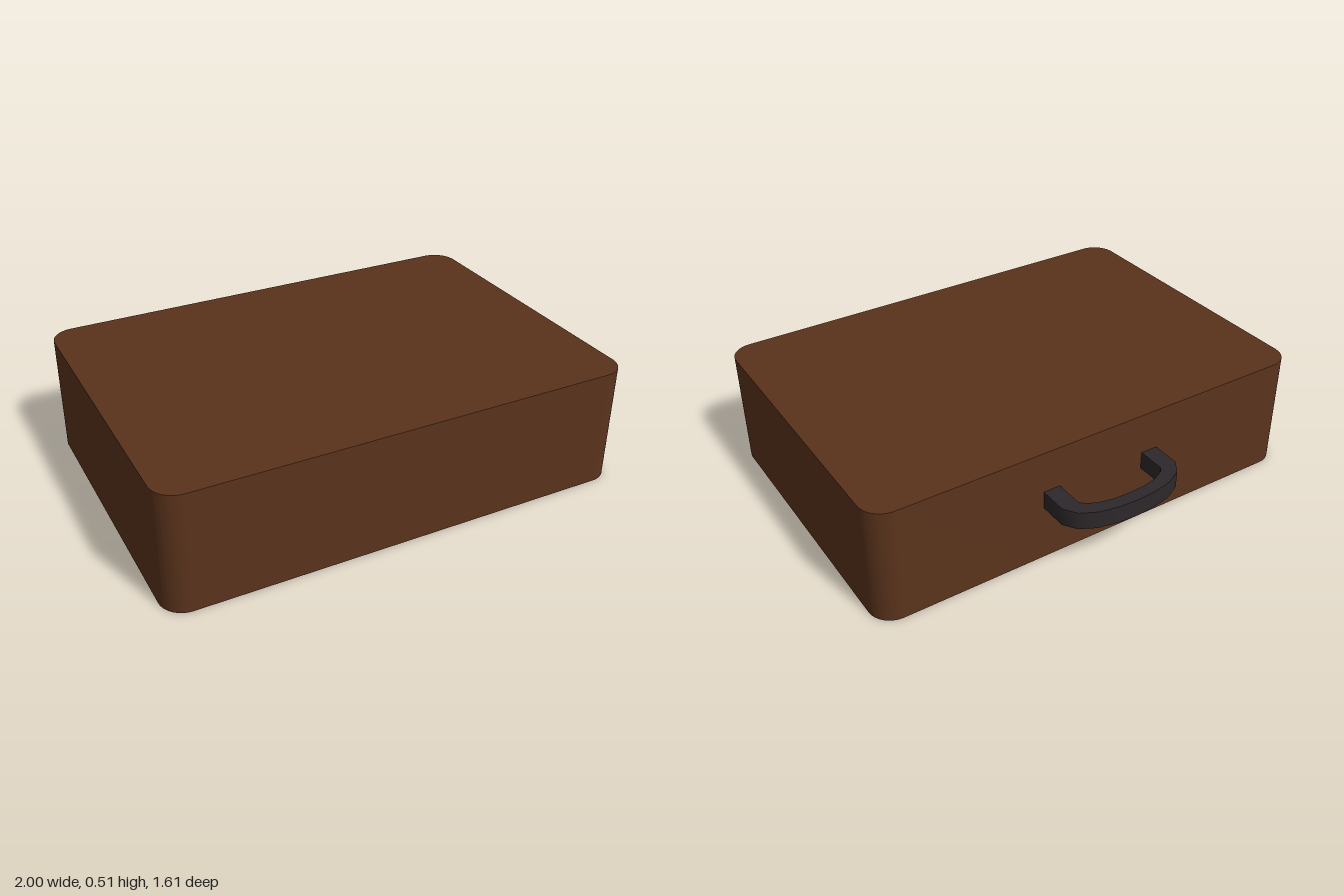
import * as THREE from 'three';
import { toCreasedNormals } from 'three/addons/utils/BufferGeometryUtils.js';

// Extrudes a plan outline (x, -z) upward from y = bottom, smoothing the rounded sides
function slab(name, shape, bottom, height, color, curveSegments) {
  const extruded = new THREE.ExtrudeGeometry(shape, { depth: height, bevelEnabled: false, curveSegments });
  extruded.rotateX(-Math.PI / 2).translate(0, bottom, 0);
  const mesh = new THREE.Mesh(toCreasedNormals(extruded, 0.6), new THREE.MeshStandardMaterial({ color }));
  mesh.name = name;
  return mesh;
}

// Rectangle with rounded corners
function roundedRectangle(x0, y0, x1, y1, r) {
  const s = new THREE.Shape();
  s.absarc(x1 - r, y0 + r, r, -Math.PI / 2, 0);
  s.absarc(x1 - r, y1 - r, r, 0, Math.PI / 2);
  s.absarc(x0 + r, y1 - r, r, Math.PI / 2, Math.PI);
  s.absarc(x0 + r, y0 + r, r, Math.PI, Math.PI * 1.5);
  s.closePath();
  return s;
}

// Half profile from the right end to the middle, mirrored to the other side
function mirrored(half) {
  return [...half, ...half.slice(0, -1).reverse().map(([x, y]) => [-x, y])];
}

export function createModel() {
  const group = new THREE.Group();
  group.name = 'suitcase';

  // Case body
  group.add(slab('caseBody', roundedRectangle(-1, -0.807, 1, 0.573, 0.1), 0, 0.51, 0x5a331c, 10));

  // Arched carrying handle on the back side
  const outer = mirrored([[0.275, 0.57], [0.275, 0.695], [0.238, 0.75], [0.17, 0.785], [0.085, 0.802], [0, 0.807]]);
  const inner = mirrored([[0.2, 0.57], [0.2, 0.693], [0.182, 0.715], [0.135, 0.737], [0.07, 0.75], [0, 0.753]]);
  const outline = [...outer, ...inner.reverse()].map(([x, y]) => new THREE.Vector2(x, y));
  group.add(slab('handle', new THREE.Shape(outline), 0.25, 0.077, 0x2d282b, 1));

  return group;
}
